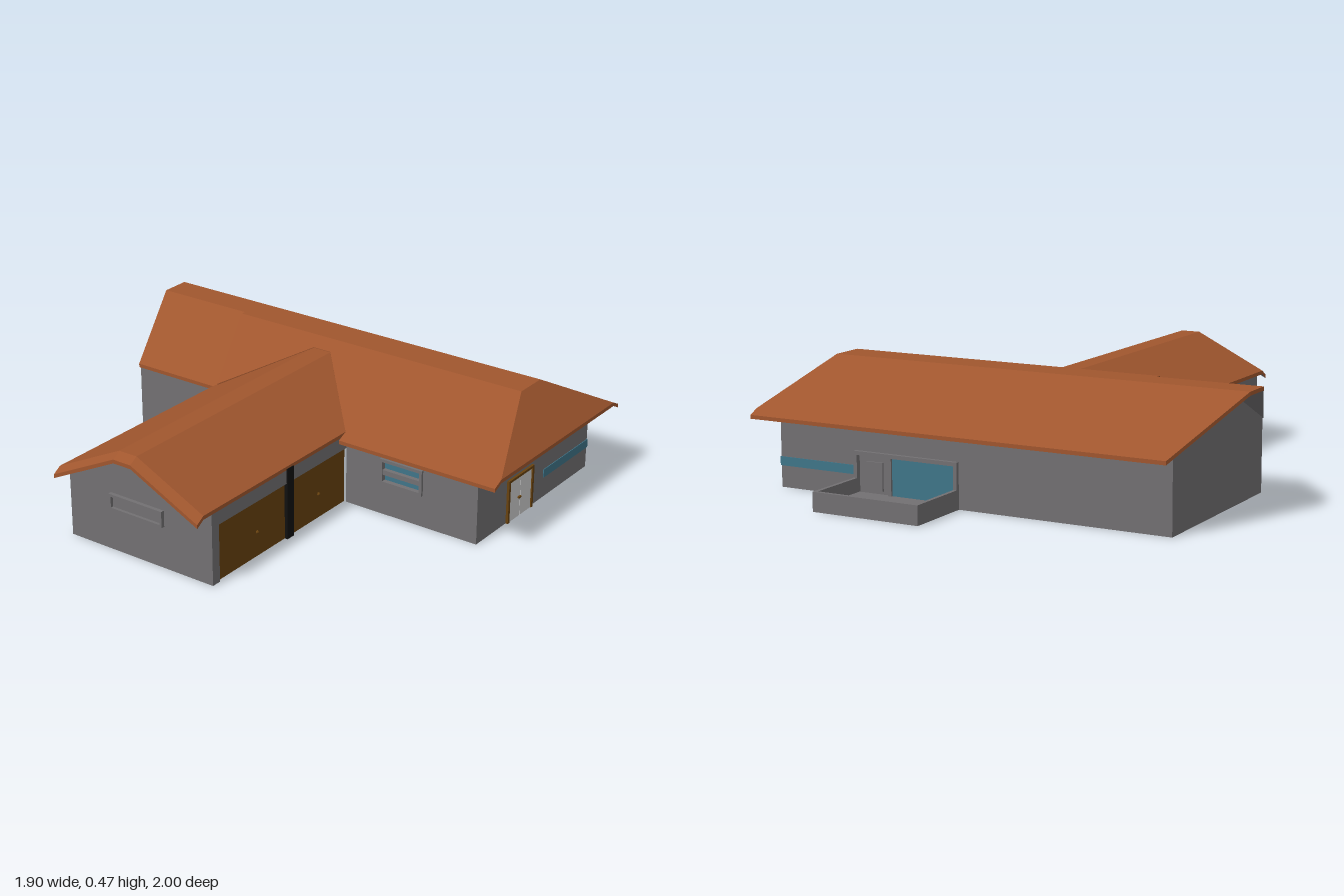
import * as THREE from 'three';

const mat = (color) => new THREE.MeshStandardMaterial({ color, flatShading: true });
const GREY = mat(0x727072), ROOF = mat(0xa0562e), WOOD = mat(0x68420f);
const GLASS = mat(0x3f7589), WHITE = mat(0xcccccc), BLACK = mat(0x111111);

export function createModel() {
  const house = new THREE.Group();
  house.name = 'house';

  // box given by its min and max on each axis
  function box(name, m, x0, x1, y0, y1, z0, z1) {
    const mesh = new THREE.Mesh(new THREE.BoxGeometry(x1 - x0, y1 - y0, z1 - z0), m);
    mesh.position.set((x0 + x1) / 2, (y0 + y1) / 2, (z0 + z1) / 2);
    mesh.name = name;
    house.add(mesh);
    return mesh;
  }

  // upright wall from an outline [u, y]; along x, or (side) along z with u = -z
  const T = 0.03;
  function wall(name, outline, at, side = false, holes = []) {
    const shape = new THREE.Shape(outline.map(([u, y]) => new THREE.Vector2(u, y)));
    for (const [a, b, c, d] of holes) {
      shape.holes.push(new THREE.Path([[a, c], [a, d], [b, d], [b, c]].map(([u, y]) => new THREE.Vector2(u, y))));
    }
    const mesh = new THREE.Mesh(new THREE.ExtrudeGeometry(shape, { depth: T, bevelEnabled: false }), GREY);
    if (side) { mesh.rotation.y = Math.PI / 2; mesh.position.x = at; } else mesh.position.z = at;
    mesh.name = name;
    house.add(mesh);
  }

  // roof sheet over points [x, y, z]: tiled top and rim, grey underside
  function sheet(name, pts, t = 0.015) {
    let p = pts.map(([x, y, z]) => new THREE.Vector3(x, y, z));
    const flat = (list) => list.map((v) => new THREE.Vector2(v.x, -v.z));
    if (THREE.ShapeUtils.isClockWise(flat(p))) p = p.reverse();
    const low = p.map((v) => v.clone().setY(v.y - t));
    const top = [], under = [];
    for (const [a, b, c] of THREE.ShapeUtils.triangulateShape(flat(p), [])) {
      top.push(p[a], p[b], p[c]);
      under.push(low[a], low[c], low[b]);
    }
    p.forEach((v, i) => {
      const j = (i + 1) % p.length;
      top.push(v, low[i], low[j], v, low[j], p[j]);
    });
    [[top, ROOF, name], [under, GREY, name + 'Underside']].forEach(([list, m, n]) => {
      const g = new THREE.BufferGeometry().setFromPoints(list);
      g.computeVertexNormals();
      const mesh = new THREE.Mesh(g, m);
      mesh.name = n;
      house.add(mesh);
    });
  }

  // rectangular frame facing z
  function frame(name, m, x0, x1, y0, y1, z0, z1, w) {
    box(name, m, x0, x1, y1 - w, y1, z0, z1);
    box(name, m, x0, x1, y0, y0 + w, z0, z1);
    box(name, m, x0, x0 + w, y0 + w, y1 - w, z0, z1);
    box(name, m, x1 - w, x1, y0 + w, y1 - w, z0, z1);
  }

  // main block walls
  const H = 0.29;
  wall('leftGableWall', [[-0.06, 0], [0.72, 0], [0.72, H], [0.41, 0.46], [0.29, 0.46], [-0.06, H]], -0.8, true);
  wall('rightWall', [[-0.1, 0], [0.72, 0], [0.72, H], [0.45, 0.4], [0.22, 0.4], [-0.1, H]], 0.82, true);
  wall('frontLeftWall', [[-0.8, 0], [-0.41, 0], [-0.41, H], [-0.8, H]], 0.03);
  wall('frontRightWall', [[0.26, 0], [0.85, 0], [0.85, H], [0.26, H]], 0.07, false, [[0.43, 0.6, 0.14, 0.225]]);
  wall('backWall', [[-0.8, 0], [0.06, 0], [0.06, 0.175], [0.51, 0.175], [0.51, 0], [0.85, 0], [0.85, H], [-0.8, H]], -0.72);

  // wing walls
  wall('wingFrontWall', [[-0.41, 0], [0.26, 0], [0.26, H], [-0.04, 0.43], [-0.12, 0.43], [-0.41, H]], 0.89);
  wall('wingLeftWall', [[-0.92, 0], [-0.03, 0], [-0.03, H], [-0.92, H]], -0.41, true);
  wall('wingRightWall', [[-0.92, 0], [-0.88, 0], [-0.88, 0.23], [-0.1, 0.23], [-0.1, H], [-0.92, H]], 0.23, true);

  // garage doors with knobs and the pillar between them
  for (const [z0, z1] of [[0.1, 0.44], [0.48, 0.88]]) {
    box('garageDoor', WOOD, 0.235, 0.25, 0, 0.23, z0, z1);
    const knob = new THREE.Mesh(new THREE.SphereGeometry(0.007, 8, 6), WOOD);
    knob.position.set(0.253, 0.1, z0 + 0.17);
    knob.name = 'garageKnob';
    house.add(knob);
  }
  box('garagePillar', BLACK, 0.23, 0.263, 0, H, 0.44, 0.48);

  // wing front window
  frame('wingWindowFrame', GREY, -0.21, 0.04, 0.17, 0.235, 0.92, 0.935, 0.01);
  box('wingWindowPane', GREY, -0.2, 0.03, 0.18, 0.225, 0.92, 0.923);

  // front right window with two panes
  frame('frontWindowFrame', GREY, 0.42, 0.61, 0.13, 0.235, 0.08, 0.11, 0.012);
  box('frontWindowBar', GREY, 0.432, 0.598, 0.17, 0.19, 0.08, 0.108);
  box('frontWindowGlass', GLASS, 0.43, 0.6, 0.14, 0.225, 0.08, 0.09);

  // corner window strip
  box('sideWindowStrip', GLASS, 0.84, 0.853, 0.085, 0.12, -0.723, -0.38);
  box('backWindowStrip', GLASS, 0.51, 0.85, 0.085, 0.12, -0.723, -0.71);

  // white double door on the right side
  for (const z of [-0.2, -0.28]) {
    box('sideDoorLeaf', WHITE, 0.84, 0.856, 0, 0.168, z + 0.001, z + 0.079);
  }
  for (const z of [-0.293, -0.121]) box('sideDoorJamb', WOOD, 0.84, 0.86, 0, 0.178, z, z + 0.012);
  box('sideDoorLintel', WOOD, 0.84, 0.86, 0.168, 0.178, -0.281, -0.121);
  box('sideDoorHandle', WOOD, 0.856, 0.864, 0.08, 0.086, -0.198, -0.18);

  // rear entrance: frame, door and large window
  frame('entranceFrame', GREY, 0.06, 0.51, 0, 0.178, -0.735, -0.69, 0.015);
  box('entranceDoor', GREY, 0.36, 0.495, 0.01, 0.165, -0.715, -0.7);
  box('entranceDoorPanel', GREY, 0.39, 0.465, 0.03, 0.14, -0.722, -0.715);
  box('entrancePost', GREY, 0.345, 0.36, 0.01, 0.165, -0.733, -0.7);
  box('entranceWindow', GLASS, 0.075, 0.345, 0.015, 0.165, -0.725, -0.705);

  // porch with low walls
  box('porchFloor', GREY, 0.06, 0.51, 0, 0.02, -1, -0.72);
  box('porchBackWall', GREY, 0.06, 0.51, 0.02, 0.075, -1, -0.985);
  box('porchSideWall', GREY, 0.06, 0.075, 0.02, 0.075, -0.985, -0.735);
  box('porchSideWall', GREY, 0.495, 0.51, 0.02, 0.075, -0.985, -0.735);

  // main roof: flat ridge, back slope, right hip, two front slopes
  const R = 0.475;
  const front = (x, z) => [x, R - (z + 0.27) * 0.464, z];
  sheet('roofRidge', [[-0.95, R, -0.41], [0.8, R, -0.41], [0.8, R, -0.27], [-0.53, R, -0.27], [-0.53, R, -0.29], [-0.95, R, -0.29]]);
  sheet('roofBack', [[-0.95, R, -0.41], [0.8, R, -0.41], [0.95, 0.3, -0.735], [0.95, 0.28, -0.775], [-0.8, 0.28, -0.775]]);
  sheet('roofHip', [[0.8, R, -0.41], [0.8, R, -0.27], [0.95, 0.3, 0.107], [0.95, 0.3, -0.735]]);
  sheet('roofFrontLeft', [[-0.95, R, -0.29], [-0.5, R, -0.29], [-0.37, 0.3, 0.07], [-0.8, 0.3, 0.07]]);
  sheet('roofFrontRight', [front(-0.53, -0.27), front(-0.39, 0.07), front(-0.12, -0.21), front(-0.04, -0.21),
    front(0.26, 0.107), front(0.26, 0.15), front(0.95, 0.15), front(0.95, 0.107), front(0.8, -0.27)]);

  // wing roof: profile [x, y, rear z], with a front lip that dips
  const W = [[-0.415, 0.3, 0.04], [-0.12, 0.445, -0.24], [-0.04, 0.445, -0.24], [0.26, 0.3, 0.09]];
  for (let i = 0; i < 3; i++) {
    const [[xa, ya, za], [xb, yb, zb]] = [W[i], W[i + 1]];
    sheet('wingRoof', [[xa, ya, za], [xb, yb, zb], [xb, yb, 0.965], [xa, ya, 0.965]]);
    sheet('wingRoofLip', [[xa, ya, 0.965], [xb, yb, 0.965], [xb, yb - 0.022, 1], [xa, ya - 0.022, 1]]);
  }
  return house;
}
